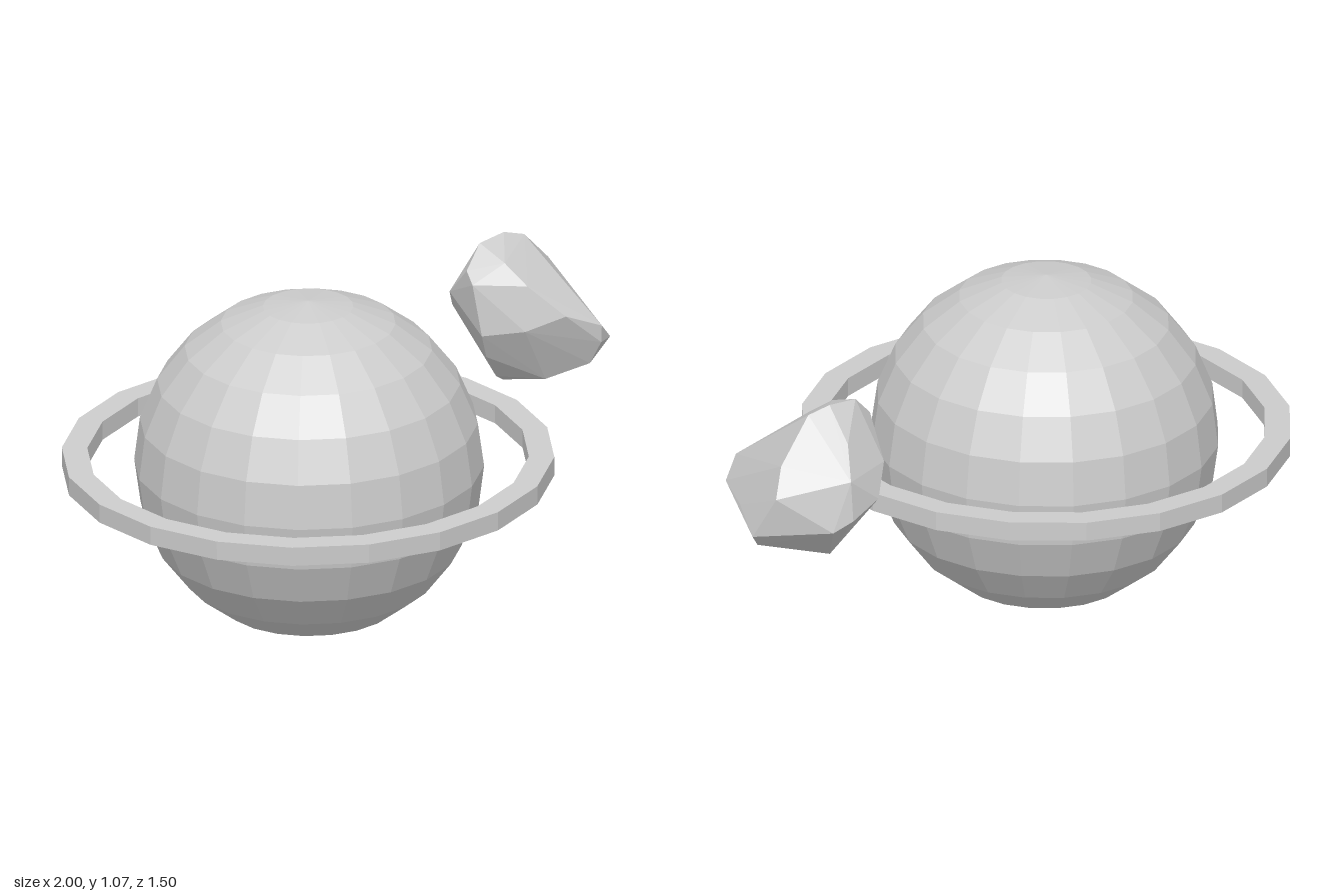
import * as THREE from 'three';
import { ConvexGeometry } from 'three/addons/geometries/ConvexGeometry.js';

export function createModel() {
  const model = new THREE.Group();
  model.name = 'ringedPlanetWithAsteroid';
  const material = new THREE.MeshStandardMaterial({ color: 0xcccccc, flatShading: true });
  const sides = 20;
  const tilt = [0.02, 0, 0.023];
  const spin = -0.085;

  // Adds a mesh turned about its own axis, inside a slightly tilted group
  function addTilted(name, geometry, x, y, z) {
    geometry.rotateY(spin);
    const mesh = new THREE.Mesh(geometry, material);
    mesh.name = name;
    mesh.position.set(x, y, z);
    mesh.rotation.set(...tilt);
    model.add(mesh);
  }

  // Planet: faceted globe
  addTilted('planet', new THREE.SphereGeometry(0.535, sides, 12), -0.24, 0.535, -0.013);

  // Ring: flat band with a rectangular section
  const inner = 0.675, outer = 0.753, half = 0.03;
  const section = [
    [inner, -half], [outer, -half], [outer, half], [inner, half], [inner, -half],
  ].map(([r, y]) => new THREE.Vector2(r, y));
  addTilted('ring', new THREE.LatheGeometry(section, sides), -0.25, 0.543, -0.005);

  // Asteroid: chipped rock spanned by its corners
  const corners = [
    // crown
    [0.60, 0.98, -0.26], [0.70, 0.99, -0.27], [0.77, 0.97, -0.26], [0.62, 0.94, -0.16],
    // front
    [0.65, 0.88, -0.085], [0.73, 0.79, 0.004], [0.85, 0.74, 0.027], [0.85, 0.685, 0.024],
    [0.91, 0.68, -0.01], [0.84, 0.605, -0.02], [0.63, 0.74, -0.07],
    // left side
    [0.90, 0.85, -0.31], [0.95, 0.77, -0.36], [1.0, 0.635, -0.305], [0.95, 0.67, -0.155],
    [0.96, 0.583, -0.27],
    // right side
    [0.527, 0.877, -0.2], [0.535, 0.91, -0.24], [0.54, 0.716, -0.17], [0.56, 0.80, -0.36],
    [0.58, 0.63, -0.2],
    // back
    [0.743, 0.69, -0.474], [0.807, 0.66, -0.46], [0.74, 0.815, -0.456], [0.70, 0.90, -0.375],
    [0.626, 0.72, -0.433],
    // underside
    [0.714, 0.497, -0.294], [0.655, 0.535, -0.25], [0.74, 0.548, -0.113],
  ].map((p) => new THREE.Vector3(...p));
  const asteroid = new THREE.Mesh(new ConvexGeometry(corners), material);
  asteroid.name = 'asteroid';
  model.add(asteroid);

  return model;
}
